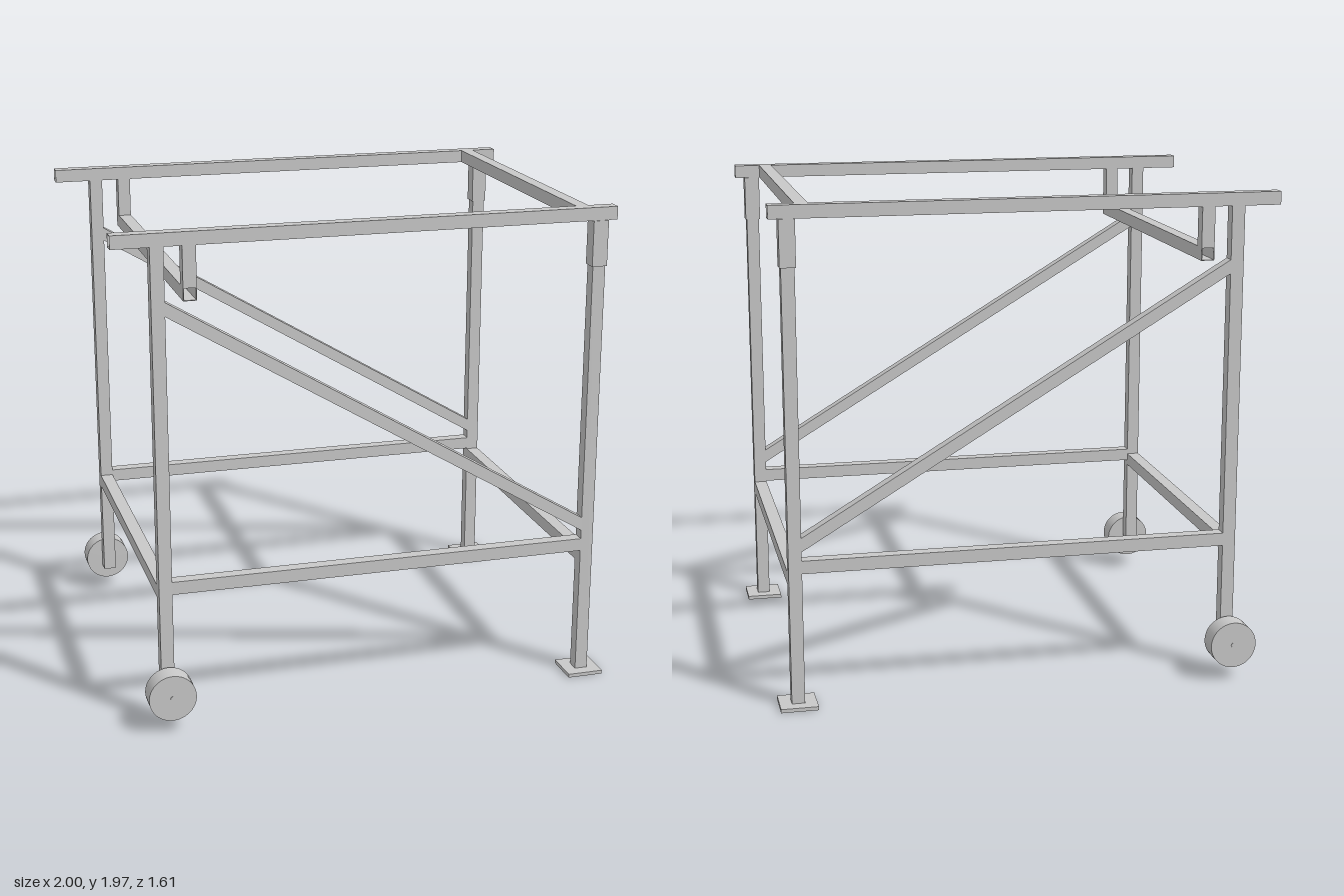
import * as THREE from 'three';

const W = 0.052; // side of the square tube
const WALL = 0.003;

// Open square tube along an axis, centred on the origin
function tubeGeometry(axis, length, w = W, h = w) {
  const rect = (T, a, b) => new T([
    new THREE.Vector2(-a, -b), new THREE.Vector2(a, -b),
    new THREE.Vector2(a, b), new THREE.Vector2(-a, b)]);
  const shape = rect(THREE.Shape, w / 2, h / 2);
  shape.holes.push(rect(THREE.Path, w / 2 - WALL, h / 2 - WALL));
  const g = new THREE.ExtrudeGeometry(shape, { depth: length, bevelEnabled: false });
  g.translate(0, 0, -length / 2);
  if (axis === 'x') g.rotateY(Math.PI / 2);
  if (axis === 'y') g.rotateX(Math.PI / 2);
  return g;
}

export function createModel() {
  const model = new THREE.Group();
  const steel = new THREE.MeshStandardMaterial({ color: 0xc8c8c8 });
  steel.name = 'steelGrey';

  const add = (name, geometry, x, y, z) => {
    const mesh = new THREE.Mesh(geometry, steel);
    mesh.name = name;
    mesh.position.set(x, y, z);
    model.add(mesh);
  };
  const post = (name, x, y0, y1, z, w) =>
    add(name, tubeGeometry('y', y1 - y0, w), x, (y0 + y1) / 2, z);

  const wheelX = -0.828, footX = 0.924, hangerX = -0.707, sideZ = 0.68;
  const inner = 2 * (sideZ - W / 2); // clear span between the sides
  const x0 = wheelX + W / 2, x1 = footX - W / 2;

  for (const s of [1, -1]) {
    const z = s * sideZ;
    add('topRail', tubeGeometry('x', 1.993), -0.0035, 1.943, z);
    post('wheelLeg', wheelX, 0.12, 1.917, z);
    post('footLeg', footX, 0.015, 1.917, z);
    post('legSleeve', footX, 1.735, 1.917, z, 0.062);
    post('hanger', hangerX, 1.759, 1.917, z);
    add('lowerSideRail', tubeGeometry('x', x1 - x0), (x0 + x1) / 2, 0.57, z);

    // Diagonal brace, sheared so that its ends sit flat on the legs
    const brace = tubeGeometry('x', x1 - x0, W, 0.055);
    const p = brace.attributes.position;
    const slope = (0.66 - 1.68) / (x1 - x0);
    for (let i = 0; i < p.count; i++) p.setY(i, p.getY(i) + p.getX(i) * slope);
    brace.computeVertexNormals();
    add('diagonalBrace', brace, (x0 + x1) / 2, 1.17, z);

    add('footPlate', new THREE.BoxGeometry(0.148, 0.015, 0.148), footX, 0.0075, z);

    // Wheel and the axle that carries it
    const wheel = new THREE.CylinderGeometry(0.094, 0.094, 0.085, 48).rotateX(Math.PI / 2);
    add('wheel', wheel, wheelX, 0.15, s * 0.7575);
    const axle = new THREE.CylinderGeometry(0.01, 0.01, 0.143, 16).rotateX(Math.PI / 2);
    add('axle', axle, wheelX, 0.15, s * 0.731);
  }

  // Bars running from side to side
  add('topCrossBar', tubeGeometry('z', inner), 0.864, 1.943, 0);
  add('hangerCrossBar', tubeGeometry('z', inner + 2 * W), hangerX, 1.733, 0);
  add('footCrossBar', tubeGeometry('z', inner), footX, 0.515, 0);
  add('wheelCrossBar', tubeGeometry('z', inner), wheelX, 0.548, 0);

  return model;
}
